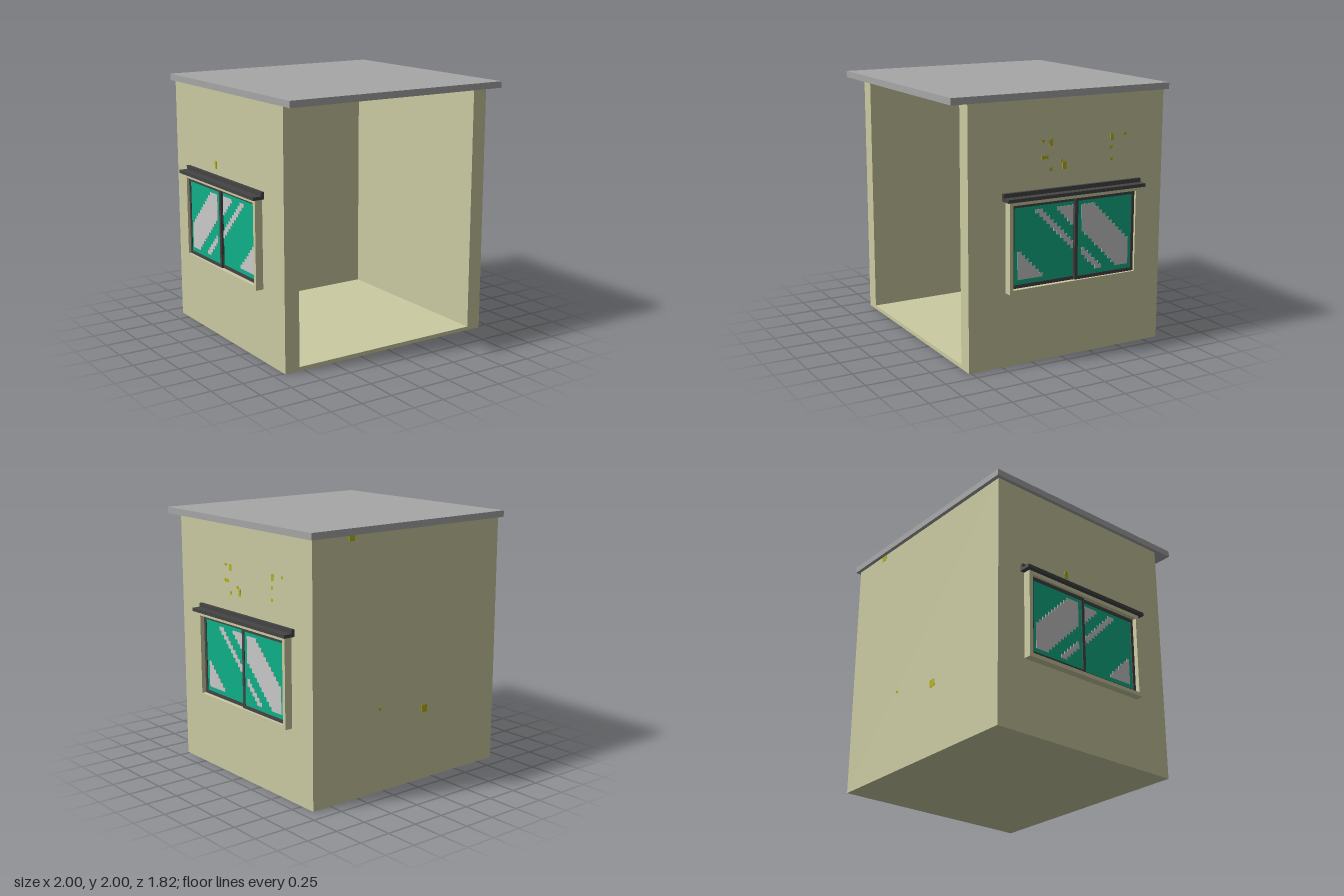
import * as THREE from 'three';
import { mergeGeometries } from 'three/addons/utils/BufferGeometryUtils.js';

const mat = (name, color) => {
  const m = new THREE.MeshStandardMaterial({ color });
  m.name = name;
  return m;
};

// Box geometry from its two extreme corners, in any order
function span(x0, x1, y0, y1, z0, z1) {
  const g = new THREE.BoxGeometry(Math.abs(x1 - x0), Math.abs(y1 - y0), Math.abs(z1 - z0));
  return g.translate((x0 + x1) / 2, (y0 + y1) / 2, (z0 + z1) / 2);
}

export function createModel() {
  const wall = mat('cream wall', 0xcbcba2);
  const roofGrey = mat('roof grey', 0xa7a7a7);
  const dark = mat('dark trim', 0x444444);
  const glass = mat('green glass', 0x0fb088);
  const pale = mat('pale grey', 0xcacaca);
  const stain = mat('yellow stain', 0xb3b312);

  const model = new THREE.Group();
  model.name = 'openFrontedBuilding';
  const add = (parent, name, material, boxes) => {
    const mesh = new THREE.Mesh(mergeGeometries(boxes.map((b) => span(...b))), material);
    mesh.name = name;
    parent.add(mesh);
  };

  // Shell, open at the front
  add(model, 'floor', wall, [[-0.79, 0.79, 0, 0.03, -0.76, 0.77]]);
  add(model, 'backWall', wall, [[-0.91, 0.91, 0, 1.95, -0.88, -0.76]]);
  add(model, 'leftWall', wall, [[0.79, 0.91, 0, 1.95, -0.76, 0.77]]);
  add(model, 'rightWall', wall, [[-0.91, -0.79, 0, 1.95, -0.76, 0.77]]);
  add(model, 'roof', roofGrey, [[-0.94, 0.94, 1.95, 2, -0.91, 0.91]]);

  // Long ceiling lamps
  for (const x of [-0.5, 0.5]) {
    add(model, 'ceilingLamp', pale, [[x - 0.085, x + 0.085, 1.915, 1.95, -0.5, 0.5]]);
  }

  // Rectangular ring in the side plane, as four boxes
  const ring = (x0, x1, y0, y1, z0, z1, t) => [
    [x0, x1, y0, y0 + t, z0, z1],
    [x0, x1, y1 - t, y1, z0, z1],
    [x0, x1, y0 + t, y1 - t, z0, z0 + t],
    [x0, x1, y0 + t, y1 - t, z1 - t, z1],
  ];

  // Stepped diagonal glints: cells with lo <= column - row <= hi
  const cell = 0.0297;
  function glints(x0, x1, zFront, columns, bands) {
    const boxes = [];
    for (const [lo, hi] of bands) {
      for (let row = 0; row < 17; row++) {
        const a = Math.max(0, row + lo);
        const b = Math.min(columns - 1, row + hi);
        if (a > b) continue;
        const top = 1.155 - row * cell;
        boxes.push([x0, x1, top - cell, top, zFront - a * cell, zFront - (b + 1) * cell]);
      }
    }
    return boxes;
  }

  // Sliding windows, one on each side wall
  for (const s of [1, -1]) {
    const win = new THREE.Group();
    win.name = s > 0 ? 'leftWindow' : 'rightWindow';
    model.add(win);
    add(win, 'windowSurround', wall, ring(s * 0.91, s * 0.97, 0.56, 1.24, -0.64, 0.47, 0.03));
    add(win, 'frontSash', dark, ring(s * 0.91, s * 0.935, 0.59, 1.21, -0.11, 0.44, 0.026));
    add(win, 'rearSash', dark, ring(s * 0.91, s * 0.95, 0.59, 1.21, -0.613, -0.088, 0.026));
    add(win, 'frontPane', glass, [[s * 0.91, s * 0.929, 0.61, 1.19, -0.09, 0.42]]);
    add(win, 'rearPane', glass, [[s * 0.91, s * 0.944, 0.61, 1.19, -0.595, -0.11]]);
    add(win, 'frontGlints', pale,
      glints(s * 0.928, s * 0.932, 0.383, 16, [[-99, -10], [5, 6], [11, 99]]));
    add(win, 'rearGlints', pale,
      glints(s * 0.943, s * 0.947, -0.147, 14, [[-6, 3], [-12, -11]]));
    // Stepped hood above the window
    add(win, 'windowHood', dark, [
      [s * 0.91, s * 1.0, 1.24, 1.265, -0.675, 0.5],
      [s * 0.91, s * 0.935, 1.265, 1.295, -0.675, 0.5],
    ]);
  }

  // Small stains on the outer walls: along, up, width, height
  const sideStains = [
    [0.165, 1.64, 0.025, 0.02], [0.1, 1.625, 0.03, 0.05], [0.15, 1.522, 0.055, 0.025],
    [0.1, 1.432, 0.025, 0.025], [0.012, 1.487, 0.02, 0.02], [-0.015, 1.45, 0.03, 0.055],
    [-0.425, 1.625, 0.025, 0.05], [-0.42, 1.55, 0.022, 0.022], [-0.42, 1.46, 0.022, 0.022],
    [-0.54, 1.64, 0.025, 0.02],
  ];
  const onSide = (s) => ([z, y, w, h]) =>
    [s * 0.909, s * 0.912, y - h / 2, y + h / 2, z - w / 2, z + w / 2];
  add(model, 'leftWallStains', stain, sideStains.map(onSide(1)));
  add(model, 'rightWallStains', stain, [[-0.225, 1.37, 0.03, 0.06]].map(onSide(-1)));
  const backStains = [[-0.16, 0.56, 0.06, 0.06], [0.285, 0.64, 0.025, 0.02], [0.56, 1.925, 0.05, 0.04]];
  add(model, 'backWallStains', stain, backStains.map(([x, y, w, h]) =>
    [x - w / 2, x + w / 2, y - h / 2, y + h / 2, -0.882, -0.879]));

  return model;
}
